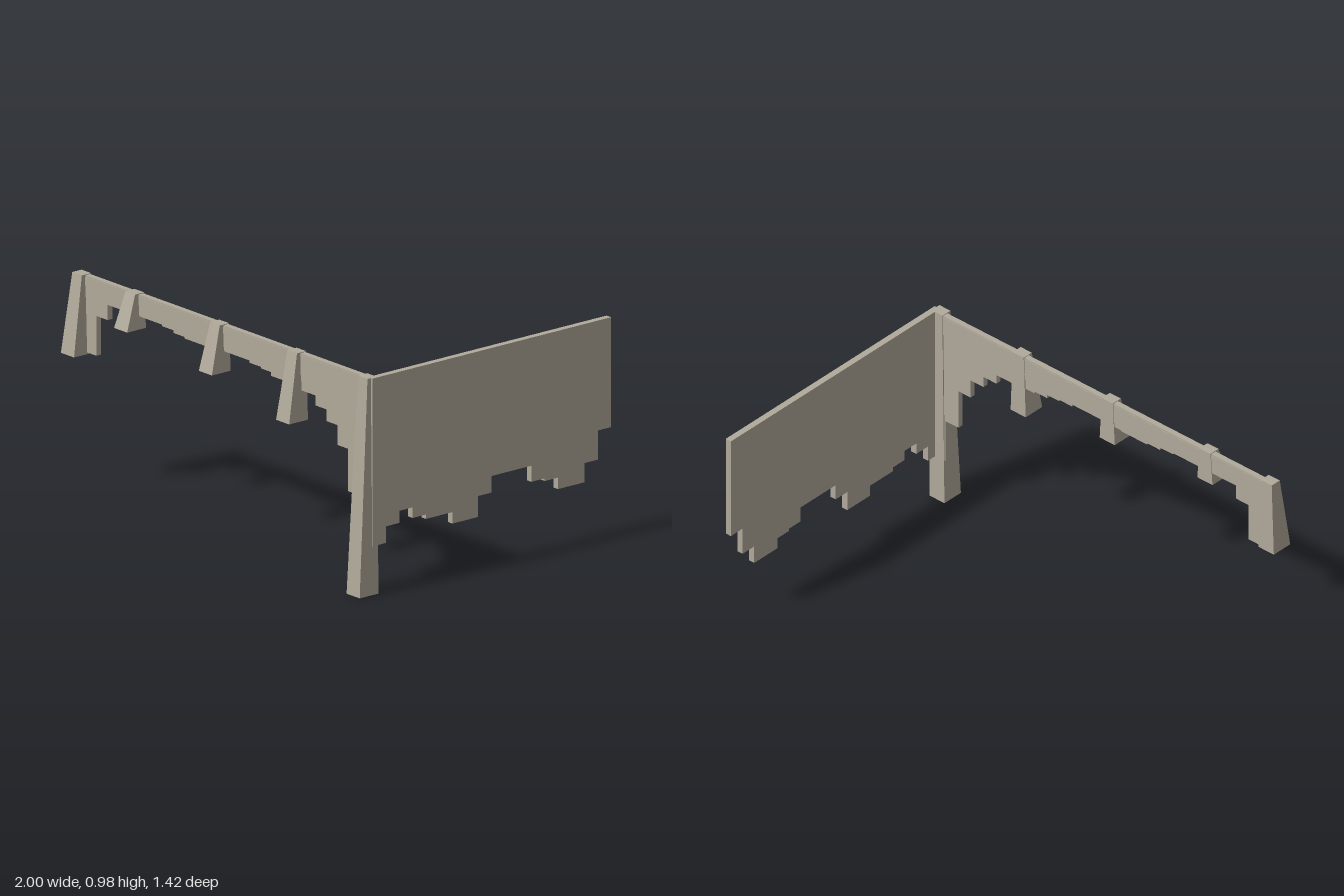
import * as THREE from 'three';

const stone = new THREE.MeshStandardMaterial({ color: 0xb1aa9b });
stone.name = 'stone';

const TOP = 0.98;

// Wall slab with a stepped lower edge; steps are [end, bottom] running from start
function steppedWall(name, start, steps, thickness, top) {
  const shape = new THREE.Shape();
  shape.moveTo(start, top);
  let at = start;
  for (const [end, bottom] of steps) {
    shape.lineTo(at, bottom);
    shape.lineTo(end, bottom);
    at = end;
  }
  shape.lineTo(at, top);
  shape.closePath();
  const geo = new THREE.ExtrudeGeometry(shape, { depth: thickness, bevelEnabled: false });
  const mesh = new THREE.Mesh(geo, stone);
  mesh.name = name;
  return mesh;
}

// Buttress: upright back, sloping front, sides narrowing to the top
function buttress(x, bottom) {
  const geo = new THREE.BoxGeometry(1, 1, 1);
  const p = geo.attributes.position;
  for (let i = 0; i < p.count; i++) {
    const up = p.getY(i) > 0;
    const half = up ? 0.032 : 0.044;
    p.setXYZ(i, x + Math.sign(p.getX(i)) * half, up ? TOP : bottom,
      p.getZ(i) > 0 ? (up ? 0.656 : 0.71) : 0.604);
  }
  geo.computeVertexNormals();
  const mesh = new THREE.Mesh(geo, stone);
  mesh.name = 'buttress';
  return mesh;
}

export function createModel() {
  const model = new THREE.Group();
  model.name = 'ruinedWall';

  // Front wall
  const front = steppedWall('frontWall', -0.985, [
    [-0.85, 0.63], [-0.775, 0.81], [-0.6, 0.895], [-0.41, 0.885], [-0.335, 0.872],
    [-0.26, 0.86], [-0.11, 0.853], [-0.035, 0.857], [0.175, 0.86], [0.25, 0.85],
    [0.32, 0.843], [0.395, 0.826], [0.465, 0.817], [0.615, 0.81], [0.69, 0.765],
    [0.765, 0.712], [0.835, 0.622], [0.91, 0.43], [0.97, 0.22],
  ], 0.027, 0.977);
  front.position.z = 0.609;
  model.add(front);

  // Raised band along the front wall
  const band = new THREE.Mesh(new THREE.BoxGeometry(1.95, 0.09, 0.031), stone);
  band.name = 'wallBand';
  band.position.set(0, 0.925, 0.6225);
  model.add(band);

  // Side wall, turned to run backwards along its left edge
  const side = steppedWall('sideWall', -0.637, [
    [-0.56, 0.22], [-0.485, 0.295], [-0.41, 0.35], [-0.335, 0.302], [-0.185, 0.282],
    [-0.04, 0.23], [0.035, 0.325], [0.26, 0.4], [0.335, 0.327], [0.41, 0.315],
    [0.56, 0.263], [0.635, 0.35], [0.71, 0.482],
  ], 0.03, TOP);
  side.rotation.y = Math.PI / 2;
  side.position.x = 0.968;
  model.add(side);

  // Buttresses
  for (const [x, bottom] of [[-0.956, 0.622], [-0.6, 0.822], [-0.033, 0.767], [0.484, 0.672], [0.956, 0]]) {
    model.add(buttress(x, bottom));
  }
  return model;
}
